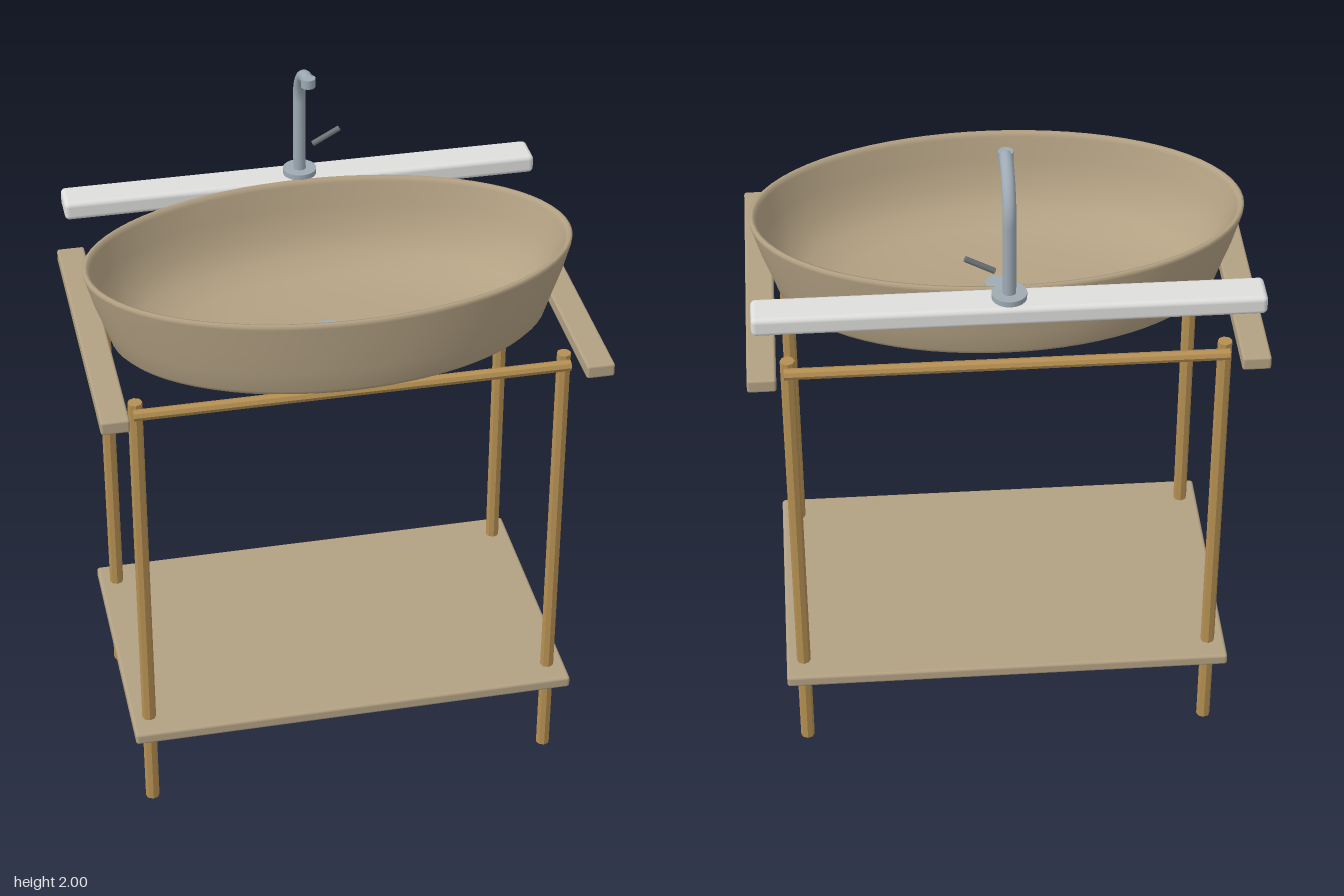
import * as THREE from 'three';
import { RoundedBoxGeometry } from 'three/addons/geometries/RoundedBoxGeometry.js';

const mat = (name, color, extra = {}) =>
  Object.assign(new THREE.MeshStandardMaterial({ color, ...extra }), { name });

// Stack of elliptical rings [rx, rz, y], ordered outside bottom -> rim -> inside bottom
function ellipseStack(rings, n = 72) {
  const pos = [], idx = [];
  rings.forEach(([rx, rz, y]) => {
    for (let i = 0; i < n; i++) {
      const a = (i / n) * Math.PI * 2;
      pos.push(rx * Math.cos(a), y, rz * Math.sin(a));
    }
  });
  for (let r = 0; r < rings.length - 1; r++) {
    for (let i = 0; i < n; i++) {
      const a = r * n + i, b = r * n + (i + 1) % n;
      idx.push(a, a + n, b, b, a + n, b + n);
    }
  }
  const g = new THREE.BufferGeometry();
  g.setAttribute('position', new THREE.Float32BufferAttribute(pos, 3));
  g.setIndex(idx);
  g.computeVertexNormals();
  return g;
}

export function createModel() {
  const model = new THREE.Group();
  model.name = 'washstand';

  const stone = mat('warm beige', 0xb3a183);
  const brass = mat('brass', 0xb48f52, { flatShading: true });
  const white = mat('white ceramic', 0xdededc);
  const chrome = mat('chrome', 0x9eaab4);
  const dark = mat('dark metal', 0x6c7276);

  const add = (name, geo, material, x = 0, y = 0, z = 0) => {
    const m = new THREE.Mesh(geo, material);
    m.name = name;
    m.position.set(x, y, z);
    model.add(m);
    return m;
  };

  // Frame: legs and side rails
  for (const s of [-1, 1]) {
    const side = s > 0 ? 'left' : 'right';
    add(side + 'Rail', new RoundedBoxGeometry(0.078, 0.04, 0.895, 2, 0.007), stone, s * 0.659, 1.4, 0);
    for (const z of [-0.325, 0.323]) {
      add(side + (z > 0 ? 'FrontLeg' : 'BackLeg'),
        new THREE.CylinderGeometry(0.02, 0.02, 1.39, 8), brass, s * 0.59, 0.695, z);
    }
  }

  // Cross bars outside the legs
  for (const z of [-0.358, 0.356]) {
    const bar = add(z > 0 ? 'frontCrossBar' : 'backCrossBar',
      new THREE.CylinderGeometry(0.016, 0.016, 1.2, 8), brass, 0, 1.37, z);
    bar.rotation.z = Math.PI / 2;
  }

  // Lower shelf and back ledge
  add('shelf', new RoundedBoxGeometry(1.28, 0.036, 0.805, 2, 0.009), stone, 0, 0.282, 0);
  add('backLedge', new RoundedBoxGeometry(1.355, 0.055, 0.102, 3, 0.014), white, 0, 1.5925, -0.4);

  // Oval basin: outer wall, rim, then inner bowl
  const outer = [
    [0.001, 0.001, 1.334], [0.47, 0.265, 1.334], [0.495, 0.28, 1.337], [0.56, 0.325, 1.365],
    [0.595, 0.352, 1.385], [0.61, 0.362, 1.4], [0.63, 0.37, 1.46], [0.655, 0.377, 1.53],
    [0.677, 0.383, 1.608], [0.678, 0.384, 1.617], [0.672, 0.378, 1.622],
  ];
  const inner = [
    [0.664, 0.37, 1.62], [0.658, 0.364, 1.608], [0.635, 0.352, 1.54], [0.6, 0.332, 1.47],
    [0.54, 0.295, 1.415], [0.44, 0.238, 1.38], [0.3, 0.16, 1.362], [0.001, 0.001, 1.355],
  ];
  add('basin', ellipseStack([...outer, ...inner]), stone, 0, 0, 0.026);
  add('drain', new THREE.CylinderGeometry(0.035, 0.035, 0.009, 24), chrome, 0, 1.36, 0.026);

  // Faucet: base plate, riser with curved neck, outlet and lever
  const faucetZ = -0.395;
  add('faucetBase', new THREE.CylinderGeometry(0.047, 0.047, 0.016, 32), chrome, 0, 1.628, faucetZ);
  const path = new THREE.CurvePath();
  path.add(new THREE.LineCurve3(new THREE.Vector3(0, 1.62, faucetZ), new THREE.Vector3(0, 1.85, faucetZ)));
  const k = 0.5523, r = 0.127;
  path.add(new THREE.CubicBezierCurve3(
    new THREE.Vector3(0, 1.85, faucetZ),
    new THREE.Vector3(0, 1.85 + r * k, faucetZ),
    new THREE.Vector3(0, 1.85 + r, faucetZ + r * (1 - k)),
    new THREE.Vector3(0, 1.85 + r, faucetZ + r)));
  add('faucetNeck', new THREE.TubeGeometry(path, 40, 0.018, 16), chrome);
  add('faucetOutlet', new THREE.CylinderGeometry(0.02, 0.02, 0.026, 16), chrome, 0, 1.976, -0.264);
  const lever = add('lever', new THREE.CylinderGeometry(0.008, 0.008, 0.088, 12), dark, 0.077, 1.728, -0.397);
  lever.rotation.z = -Math.PI / 2 + 0.5;

  return model;
}
